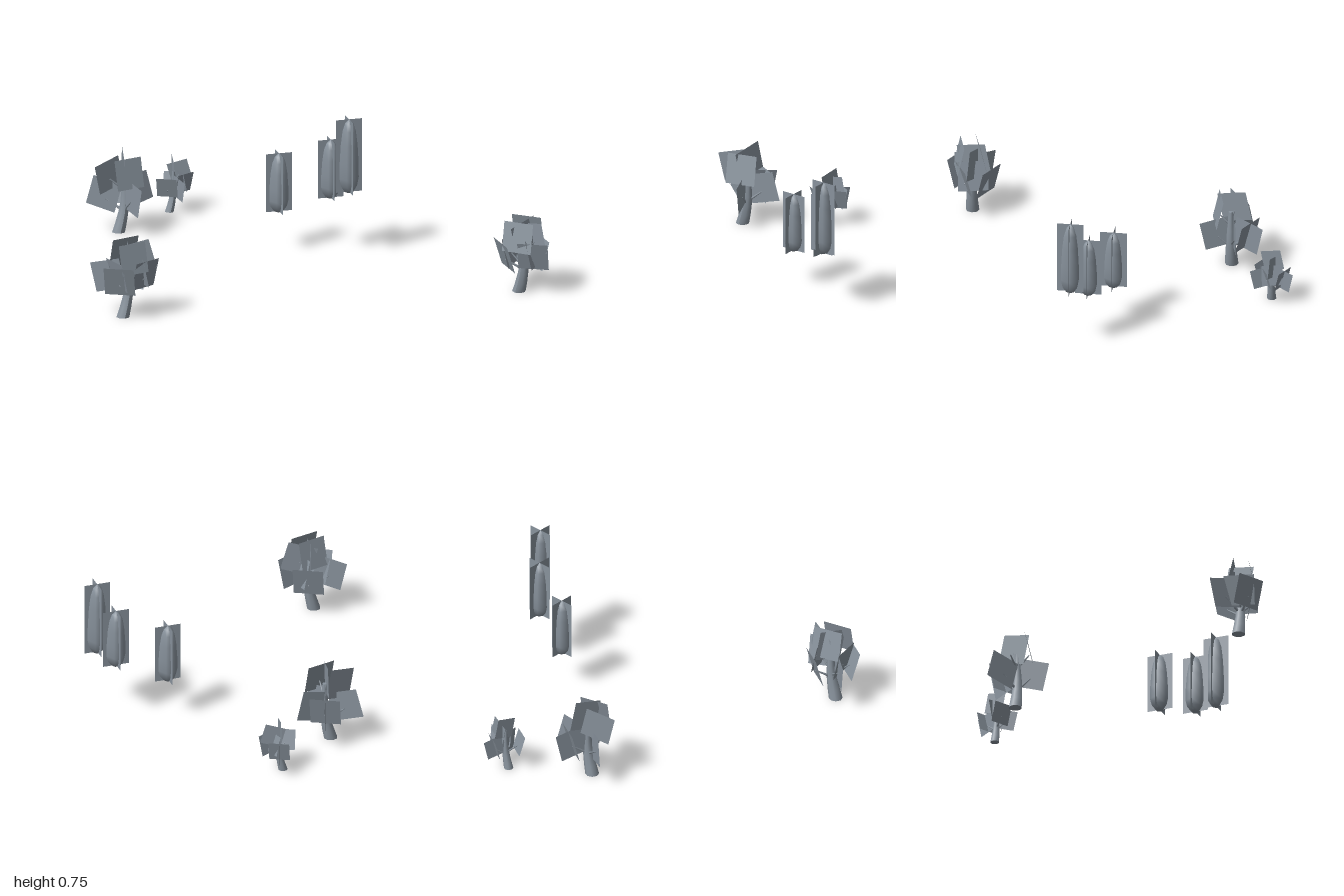
import * as THREE from 'three';

const rad = THREE.MathUtils.degToRad;

export function createModel() {
  const model = new THREE.Group();
  model.name = 'treeSet';
  const grey = new THREE.MeshStandardMaterial({ color: 0x88929c, side: THREE.DoubleSide });
  grey.name = 'slate grey';

  const add = (parent, geometry, name) => {
    const mesh = new THREE.Mesh(geometry, grey);
    mesh.name = name;
    parent.add(mesh);
    return mesh;
  };

  // Tall narrow evergreen: six-sided body inside two crossed cards
  const profile = [[0, 0], [0.024, 0], [0.045, 0.08], [0.054, 0.19], [0.053, 0.4],
    [0.047, 0.65], [0.037, 0.84], [0.022, 0.95], [0, 1]];
  function cypress(x, y, z, height) {
    const tree = new THREE.Group();
    tree.name = 'columnTree';
    tree.position.set(x, y, z);
    const points = profile.map(([r, t]) => new THREE.Vector2(r, t * height));
    add(tree, new THREE.LatheGeometry(points, 6, Math.PI / 2), 'columnBody');
    for (const yaw of [0, Math.PI / 2]) {
      const card = add(tree, new THREE.PlaneGeometry(0.145, height), 'crossedCard');
      card.position.y = height / 2;
      card.rotation.y = yaw;
    }
    model.add(tree);
  }
  cypress(0.45, 0.211, -0.072, 0.325);
  cypress(0.71, 0.295, 0.028, 0.325);
  cypress(0.787, 0.346, 0.115, 0.407);

  // Foliage cards: x, y, z from the trunk base, then yaw, pitch, roll in degrees
  const back = [0.064, 0.21, -0.095, -28, -15, 0];
  const frontLeft = [-0.042, 0.22, 0.075, -28, 17, 0];
  const frontRight = [0.115, 0.235, 0.03, 27, 15, 0];
  const leftSide = [-0.04, 0.24, 0.02, -76, 13, 0];
  const rightSide = [0.09, 0.25, -0.015, -76, 13, 0];
  const upperFront = [0.04, 0.34, 0.068, 15, -13, 0];
  const upperBack = [0.02, 0.35, -0.05, 17, 13, 0];
  const upperRight = [0.09, 0.32, -0.02, -15, 0, 16];
  const lowerLeft = [-0.07, 0.225, -0.05, -33, 0, 13];
  const lowerFront = [0.05, 0.205, 0.07, -72, 0, -12];
  const lowerBack = [0.06, 0.205, -0.09, 68, 0, -13];

  const up = new THREE.Vector3(0, 1, 0);
  function leafyTree(x, z, scale, cards) {
    const tree = new THREE.Group();
    tree.name = 'leafyTree';
    tree.position.set(x, 0, z);
    tree.scale.setScalar(scale);

    // Trunk bends to the side near the ground, then rises upright
    const lean = (y) => 0.035 * Math.sin(Math.min(1, y / 0.2) * Math.PI / 2);
    const trunk = new THREE.CylinderGeometry(0.012, 0.037, 0.33, 8, 6);
    trunk.translate(0, 0.165, 0);
    const p = trunk.attributes.position;
    for (let i = 0; i < p.count; i++) p.setX(i, p.getX(i) + lean(p.getY(i)));
    trunk.computeVertexNormals();
    add(tree, trunk, 'trunk');

    for (const [cx, cy, cz, yaw, pitch, roll] of cards) {
      const card = add(tree, new THREE.PlaneGeometry(0.165, 0.165), 'foliageCard');
      card.position.set(cx, cy, cz);
      card.rotation.set(rad(pitch), rad(yaw), rad(roll), 'YXZ');

      // Thin branch from the trunk toward each card
      const startY = cy - 0.09;
      const start = new THREE.Vector3(lean(startY), startY, 0);
      const end = new THREE.Vector3(cx, cy - 0.02, cz);
      const dir = end.clone().sub(start).multiplyScalar(0.95);
      const branch = add(tree, new THREE.CylinderGeometry(0.003, 0.009, dir.length(), 5), 'branch');
      branch.position.copy(start).addScaledVector(dir, 0.5);
      branch.quaternion.setFromUnitVectors(up, dir.normalize());
    }
    model.add(tree);
  }

  leafyTree(-0.70, 0.85, 1, [back, frontLeft, frontRight, leftSide, rightSide,
    upperFront, upperBack, lowerLeft, upperRight,
    [0.03, 0.325, -0.01, 78, 0, 12]]);
  leafyTree(-0.286, -0.61, 1, [back, upperFront, lowerFront, lowerBack,
    [-0.068, 0.205, -0.045, -33, 0, -15],
    [-0.05, 0.32, -0.01, 22, 0, 13],
    [0.11, 0.22, -0.03, 12, 0, 15],
    [0.03, 0.36, -0.02, 78, 0, 13]]);
  leafyTree(0.078, -0.877, 0.68, [back, frontLeft, frontRight, rightSide, upperRight,
    lowerFront, lowerBack,
    [0.03, 0.355, -0.01, 80, 0, 12]]);

  return model;
}
